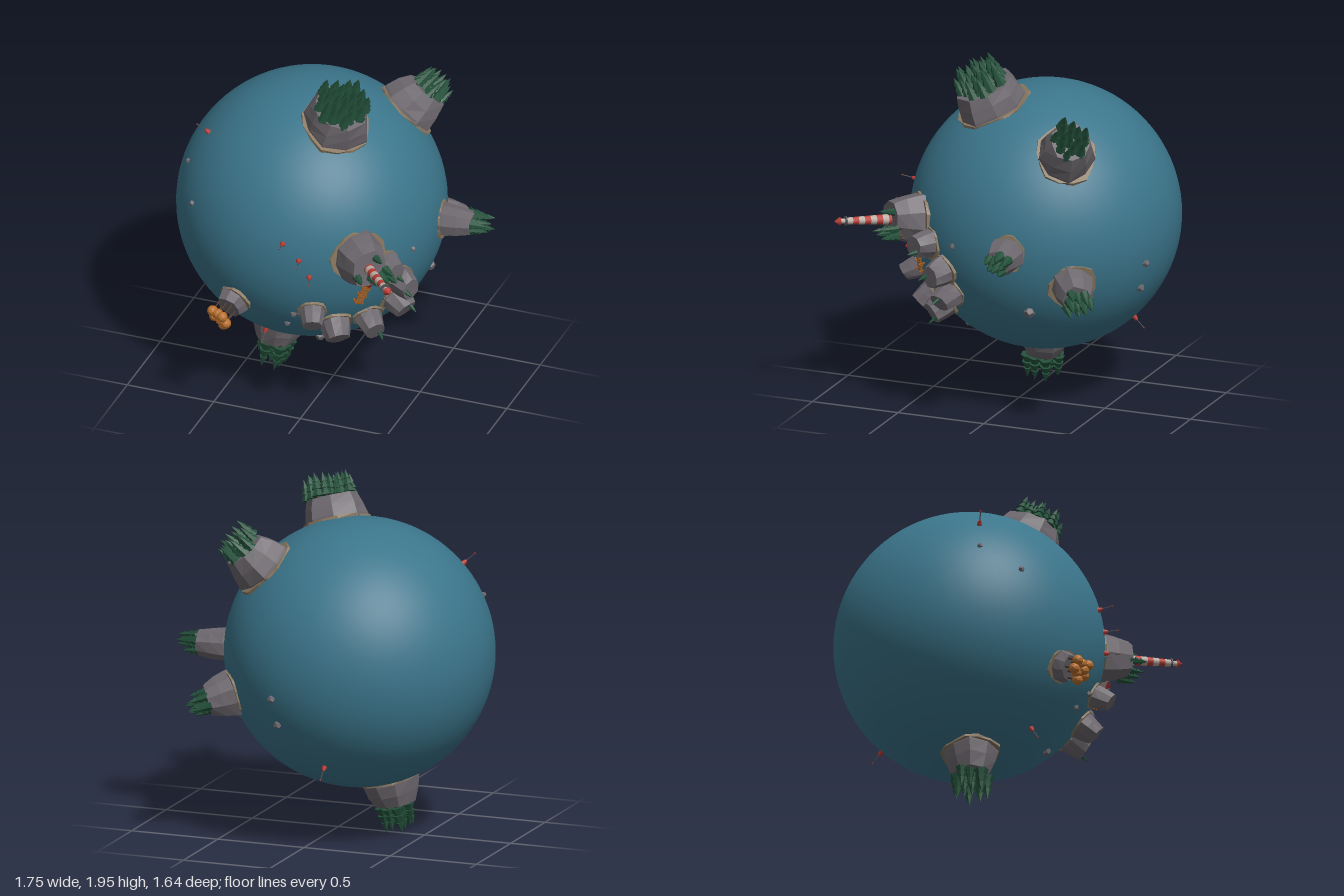
import * as THREE from 'three';
import { mergeGeometries } from 'three/addons/utils/BufferGeometryUtils.js';

const CENTER = new THREE.Vector3(-0.16, 1.05, -0.09);
const R = 0.733;
const UP = new THREE.Vector3(0, 1, 0);

function mat(name, color) {
  const m = new THREE.MeshStandardMaterial({ color });
  m.name = name;
  return m;
}
const M = {
  ocean: mat('ocean blue', 0x3b758b),
  rock: mat('rock grey', 0x6d686e),
  sand: mat('sand', 0x8a7962),
  pine: mat('pine green', 0x23503a),
  bark: mat('bark brown', 0x4a3527),
  autumn: mat('autumn orange', 0xb8702e),
  wood: mat('pier wood', 0xa0602a),
  red: mat('signal red', 0xb93c36),
  cream: mat('cream', 0xb9aea4),
  metal: mat('dark metal', 0x515055),
};

let seed = 7;
function rnd() {
  seed = (seed * 16807) % 2147483647;
  return seed / 2147483647;
}
function flat(geo) {
  const g = geo.index ? geo.toNonIndexed() : geo;
  g.computeVertexNormals();
  return g;
}
function add(parent, name, geo, material, x = 0, y = 0, z = 0) {
  const m = new THREE.Mesh(geo, material);
  m.name = name;
  m.position.set(x, y, z);
  parent.add(m);
  return m;
}
// Group standing on the globe, its y axis pointing outward through p
function stand(parent, name, p, r) {
  const dir = new THREE.Vector3(...p).sub(CENTER).normalize();
  const g = new THREE.Group();
  g.name = name;
  g.position.copy(CENTER).addScaledVector(dir, r);
  g.quaternion.setFromUnitVectors(UP, dir);
  parent.add(g);
  return g;
}

// Faceted boulder: a cylinder narrowed toward the top and made uneven
function boulderGeo(radius, height, topK, sides = 9) {
  const g = new THREE.CylinderGeometry(1, 1, 1, sides, 3);
  const p = g.attributes.position;
  const s = rnd() * 6;
  for (let i = 0; i < p.count; i++) {
    const x = p.getX(i), z = p.getZ(i), t = p.getY(i) + 0.5;
    const a = Math.atan2(z, x);
    const k = radius * (1 - (1 - topK) * t * t)
      * (1 + 0.06 * Math.sin(2 * a + s) + 0.05 * Math.sin(5 * a + 2 * s + 2 * t));
    const top = t > 0.9 ? 0.05 * Math.sin(a + s) * Math.hypot(x, z) : 0;
    p.setXYZ(i, x * k, (t + top) * height, z * k);
  }
  return flat(g);
}

// Pine of unit height: three stacked cones
const pineGeo = mergeGeometries([[0.23, 0.45, 0.15], [0.19, 0.4, 0.4], [0.13, 0.36, 0.64]].map(
  ([r, h, y]) => flat(new THREE.ConeGeometry(r, h, 6).translate(0, y + h / 2, 0))));
const trunkGeo = new THREE.CylinderGeometry(0.05, 0.06, 0.35, 5).translate(0, 0.1, 0);
function pine(parent, x, y, z, h) {
  const g = new THREE.Group();
  g.name = 'pineTree';
  add(g, 'foliage', pineGeo, M.pine);
  add(g, 'trunk', trunkGeo, M.bark);
  g.position.set(x, y, z);
  g.rotation.y = rnd() * 6;
  g.scale.setScalar(h);
  parent.add(g);
}

// Rock island rising from the sea to distance top, with a beach and pines
function island(root, name, p, radius, top, topK, trees = 0, spread = 0, treeH = 0.13) {
  const base = 0.67;
  const g = stand(root, name, p, base);
  add(g, 'rock', boulderGeo(radius, top - base, topK), M.rock);
  const edge = Math.sqrt(R * R - radius * radius) - base;
  add(g, 'beach', boulderGeo(radius * 1.035, Math.max(edge + 0.012, 0.02), 1, 14), M.sand);
  for (let i = 0; i < trees; i++) {
    const a = i * 2.4, d = spread * Math.sqrt((i + 0.5) / trees);
    pine(g, d * Math.cos(a), top - base - 0.02, d * Math.sin(a), treeH * (0.85 + 0.3 * rnd()));
  }
  return g;
}

function lighthouse(root, p) {
  const g = stand(root, 'lighthouse', p, 0.87);
  const n = 8, h = 0.27 / n;
  const radius = (i) => 0.03 - 0.0014 * i;
  for (let i = 0; i < n; i++) {
    add(g, 'towerBand', new THREE.CylinderGeometry(radius(i + 1), radius(i), h, 12),
      i % 2 ? M.cream : M.red, 0, (i + 0.5) * h, 0);
  }
  add(g, 'gallery', new THREE.CylinderGeometry(0.027, 0.027, 0.008, 12), M.metal, 0, 0.274, 0);
  add(g, 'lantern', new THREE.CylinderGeometry(0.014, 0.014, 0.03, 8), M.cream, 0, 0.293, 0);
  add(g, 'cap', new THREE.ConeGeometry(0.024, 0.034, 10), M.red, 0, 0.323, 0);
}

function pier(root, from, to) {
  const a = new THREE.Vector3(...from), b = new THREE.Vector3(...to);
  const g = new THREE.Group();
  g.name = 'pier';
  const up = a.clone().add(b).multiplyScalar(0.5).sub(CENTER).normalize();
  const side = up.clone().cross(b.clone().sub(a)).normalize();
  const along = side.clone().cross(up);
  g.quaternion.setFromRotationMatrix(new THREE.Matrix4().makeBasis(side, up, along));
  g.position.copy(CENTER).addScaledVector(up, 0.757);
  const len = a.distanceTo(b), n = 10;
  for (let i = 0; i < n; i++) {
    const z = ((i + 0.5) / n - 0.5) * len;
    add(g, 'plank', new THREE.BoxGeometry(0.046, 0.007, (len / n) * 0.78), M.wood, 0, 0, z);
    if (i % 3 === 0) {
      for (const s of [-1, 1]) add(g, 'post', new THREE.BoxGeometry(0.008, 0.06, 0.008), M.wood, s * 0.02, -0.018, z);
    }
  }
  for (const s of [-1, 1]) add(g, 'beam', new THREE.BoxGeometry(0.006, 0.008, len), M.wood, s * 0.015, -0.006, 0);
  root.add(g);
}

function buoy(root, p) {
  const g = stand(root, 'buoy', p, R);
  add(g, 'float', new THREE.CylinderGeometry(0.008, 0.017, 0.03, 8), M.red, 0, 0.01, 0);
  add(g, 'mast', new THREE.CylinderGeometry(0.003, 0.003, 0.06, 5), M.metal, 0, 0.05, 0);
  add(g, 'topMark', new THREE.OctahedronGeometry(0.006), M.red, 0, 0.082, 0);
}

export function createModel() {
  const root = new THREE.Group();
  root.name = 'islandGlobe';

  add(root, 'ocean', new THREE.SphereGeometry(R, 72, 48), M.ocean, ...CENTER.toArray());

  // Forested islands
  island(root, 'topIsland', [0.14, 1.92, 0.2], 0.19, 0.855, 0.8, 28, 0.135, 0.14);
  island(root, 'upperBackIsland', [0.44, 1.73, -0.5], 0.165, 0.88, 0.68, 15, 0.1, 0.13);
  island(root, 'lowerBackIsland', [0.62, 0.79, -0.62], 0.125, 0.87, 0.66, 9, 0.07, 0.125);
  island(root, 'sideIsland', [0.76, 1.04, -0.185], 0.098, 0.9, 0.72, 8, 0.06, 0.13);
  island(root, 'bottomIsland', [-0.355, 0.1, 0.005], 0.155, 0.87, 0.66, 13, 0.095, 0.155);

  // Lighthouse island
  const light = [0.64, 1.125, 0.82];
  island(root, 'lighthouseIsland', light, 0.145, 0.89, 0.7);
  lighthouse(root, light);
  for (const p of [[0.52, 1.08, 0.53], [0.51, 1.04, 0.5], [0.46, 1.05, 0.6], [0.46, 1.16, 0.55], [0.53, 1.05, 0.58], [0.38, 1.07, 0.63]]) {
    pine(stand(root, 'lighthousePine', p, 0.87), 0, 0, 0, 0.1 + 0.03 * rnd());
  }

  // Keeper's house and pier at the foot of the island
  const house = stand(root, 'house', [0.4, 0.96, 0.48], 0.74);
  add(house, 'walls', new THREE.BoxGeometry(0.05, 0.05, 0.05), M.cream, 0, 0.025, 0);
  add(house, 'roof', flat(new THREE.ConeGeometry(0.048, 0.035, 4).rotateY(Math.PI / 4)), M.red, 0, 0.066, 0);
  pier(root, [0.305, 0.8, 0.44], [0.385, 0.95, 0.44]);

  // Crescent reef of boulders
  const reef = [[0.47, 1.0, 0.37], [0.52, 0.86, 0.27], [0.49, 0.71, 0.24], [0.36, 0.6, 0.34], [0.21, 0.59, 0.48], [0.1, 0.73, 0.58]];
  reef.forEach((p, i) => {
    const g = island(root, 'reefBoulder', p, 0.086 - (i === 5 ? 0.012 : 0), 0.838, 0.7);
    if (i < 4) pine(g, 0.035 * Math.cos(i * 2), 0.155, 0.035 * Math.sin(i * 2), 0.07);
  });

  // Small island with round autumn trees
  const grove = island(root, 'autumnIsland', [-0.4, 0.67, 0.68], 0.092, 0.8, 0.75);
  for (let i = 0; i < 8; i++) {
    const a = i * 2.4, d = 0.062 * Math.sqrt((i + 0.3) / 8);
    const x = d * Math.cos(a), z = d * Math.sin(a), y = 0.2 + 0.025 * rnd();
    add(grove, 'autumnTrunk', new THREE.CylinderGeometry(0.004, 0.006, 0.09, 5), M.bark, x, y - 0.045, z);
    add(grove, 'autumnCrown', flat(new THREE.IcosahedronGeometry(0.03, 1)), M.autumn, x, y, z);
  }

  // Buoys
  [[-0.055, 1.185, 0.62], [0.035, 1.095, 0.615], [0.09, 0.995, 0.6], [-0.265, 0.45, 0.32],
    [-0.66, 1.53, 0.19], [-0.16, 0.52, -0.61]].forEach((p) => buoy(root, p));

  // Rocks breaking the surface
  [[-0.75, 1.345, 0.23, 0.016], [-0.65, 1.21, 0.43, 0.018], [-0.02, 0.715, 0.55, 0.019], [-0.075, 0.62, 0.5, 0.018],
    [0.03, 0.445, 0.28, 0.027], [0.52, 1.03, 0.17, 0.017], [0.46, 0.69, -0.25, 0.032],
    [0.08, 0.92, -0.77, 0.023], [0.06, 0.77, -0.73, 0.024]].forEach(([x, y, z, r]) => {
    const g = stand(root, 'seaRock', [x, y, z], R);
    add(g, 'stone', flat(new THREE.DodecahedronGeometry(r)), M.rock);
  });

  return root;
}
